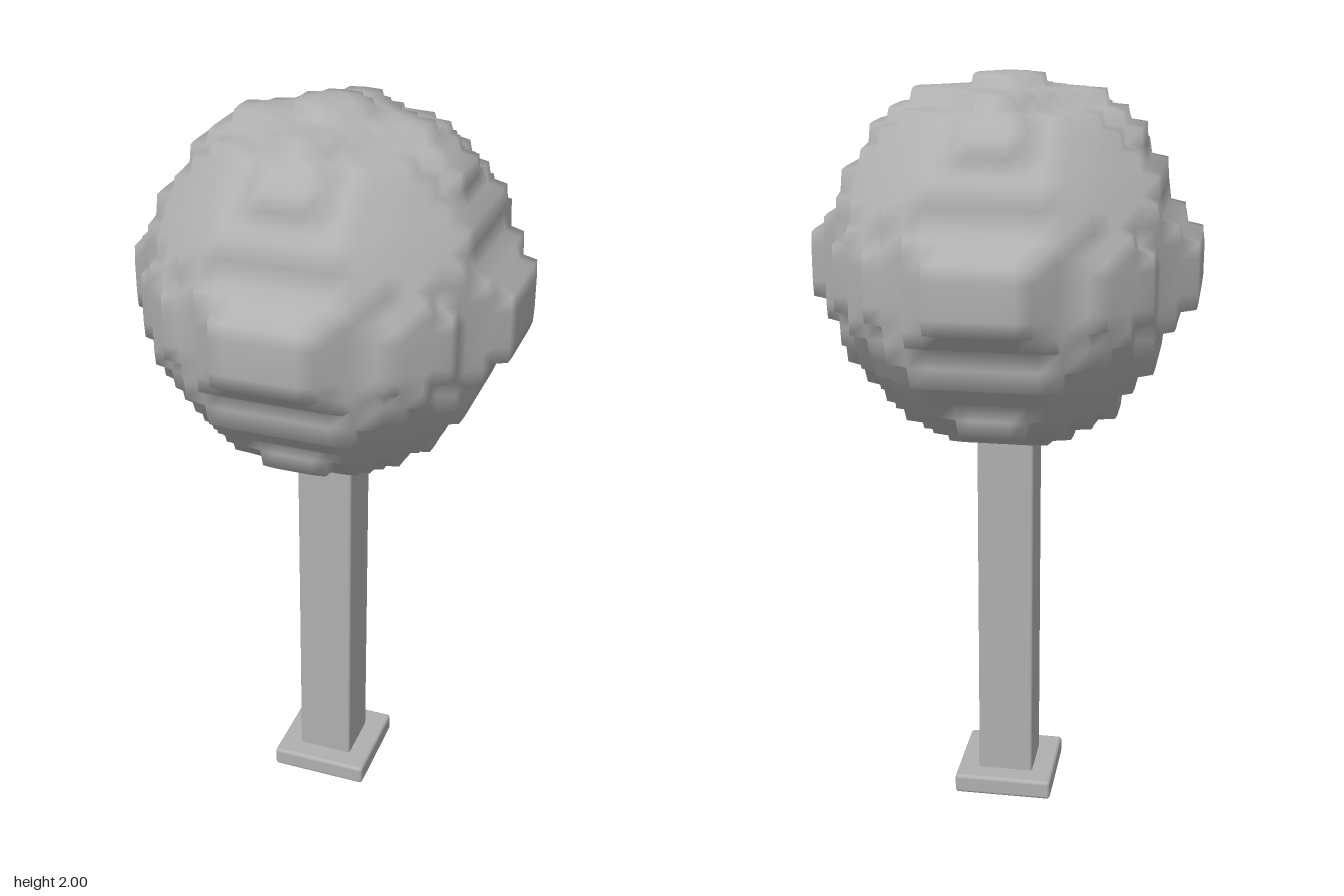
import * as THREE from 'three';
import { RoundedBoxGeometry } from 'three/addons/geometries/RoundedBoxGeometry.js';

// Step lines of the crown, outwards from its axis (the same in x and z)
const STEPS = [0, 0.05, 0.09, 0.135, 0.19, 0.25, 0.3, 0.35, 0.4, 0.45, 0.5];
const N = STEPS.length - 1;

// Crown layers from the bottom up: [top height, largest half width]
const BOTTOM = 1.07, CENTRE = 1.52;
const LAYERS = [
  [1.12, 0.2], [1.17, 0.3], [1.22, 0.3], [1.27, 0.35], [1.33, 0.4], [1.385, 0.4], [1.43, 0.45],
  [1.475, 0.5], [1.52, 0.5], [1.565, 0.5], [1.61, 0.5],
  [1.66, 0.45], [1.72, 0.4], [1.78, 0.4], [1.83, 0.35], [1.88, 0.35], [1.92, 0.3],
  [1.965, 0.25], [2.0, 0.1],
];

const across = (i) => Math.sign(i) * STEPS[Math.abs(i)];
const height = (j) => (j === 0 ? BOTTOM : LAYERS[j - 1][0]);
const middle = (f, i) => (f(i) + f(i + 1)) / 2;

// Is the cell inside the stepped ball, its diamond top or one of its four side bosses?
function filled([i, j, k]) {
  if (i < -N || i >= N || k < -N || k >= N || j < 0 || j >= LAYERS.length) return false;
  const x = Math.abs(middle(across, i)), z = Math.abs(middle(across, k));
  const limit = LAYERS[j][1];
  if (j >= LAYERS.length - 2) return x + z < limit;
  if (limit === 0.5 && Math.min(x, z) < 0.135) return true;
  return Math.max(x, z) < limit && Math.hypot(x, middle(height, j) - CENTRE, z) < 0.476;
}

// Surface of the filled cells, welded and slightly relaxed so the steps are soft
function crownGeometry() {
  const ids = new Map(), points = [], near = [], index = [];
  const vertex = (p) => {
    const key = p.join();
    if (!ids.has(key)) {
      ids.set(key, points.length);
      points.push([across(p[0]), height(p[1]), across(p[2])]);
      near.push(new Set());
    }
    return ids.get(key);
  };
  const addFace = (cell, axis, sign) => {
    const u = (axis + 1) % 3, v = (axis + 2) % 3;
    const q = [[0, 0], [1, 0], [1, 1], [0, 1]].map(([a, b]) => {
      const p = [...cell];
      p[axis] += sign > 0 ? 1 : 0;
      p[u] += a;
      p[v] += b;
      return vertex(p);
    });
    if (sign < 0) q.reverse();
    q.forEach((id, i) => {
      near[id].add(q[(i + 1) % 4]);
      near[id].add(q[(i + 3) % 4]);
    });
    index.push(q[0], q[1], q[2], q[0], q[2], q[3]);
  };
  for (let i = -N; i < N; i++) for (let j = 0; j < LAYERS.length; j++) for (let k = -N; k < N; k++) {
    const cell = [i, j, k];
    if (!filled(cell)) continue;
    for (let axis = 0; axis < 3; axis++) for (const sign of [-1, 1]) {
      const next = [...cell];
      next[axis] += sign;
      if (!filled(next)) addFace(cell, axis, sign);
    }
  }
  const relaxed = points.map((p, n) => p.map((value, axis) => {
    let sum = 0;
    near[n].forEach((m) => { sum += points[m][axis]; });
    return value + 0.4 * (sum / near[n].size - value);
  }));
  const geometry = new THREE.BufferGeometry();
  geometry.setAttribute('position', new THREE.Float32BufferAttribute(relaxed.flat(), 3));
  geometry.setIndex(index);
  geometry.computeVertexNormals();
  return geometry;
}

export function createModel() {
  const model = new THREE.Group();
  model.name = 'tree';
  const grey = new THREE.MeshStandardMaterial({ color: 0xb0b0b0 });
  grey.name = 'plain grey';

  const add = (name, geometry, y) => {
    const mesh = new THREE.Mesh(geometry, grey);
    mesh.name = name;
    mesh.position.y = y;
    model.add(mesh);
  };

  // Square foot, square trunk and stepped round crown
  add('foot', new RoundedBoxGeometry(0.272, 0.055, 0.272, 3, 0.01), 0.0275);
  add('trunk', new RoundedBoxGeometry(0.153, 1.05, 0.153, 3, 0.008), 0.565);
  add('crown', crownGeometry(), 0);
  return model;
}
